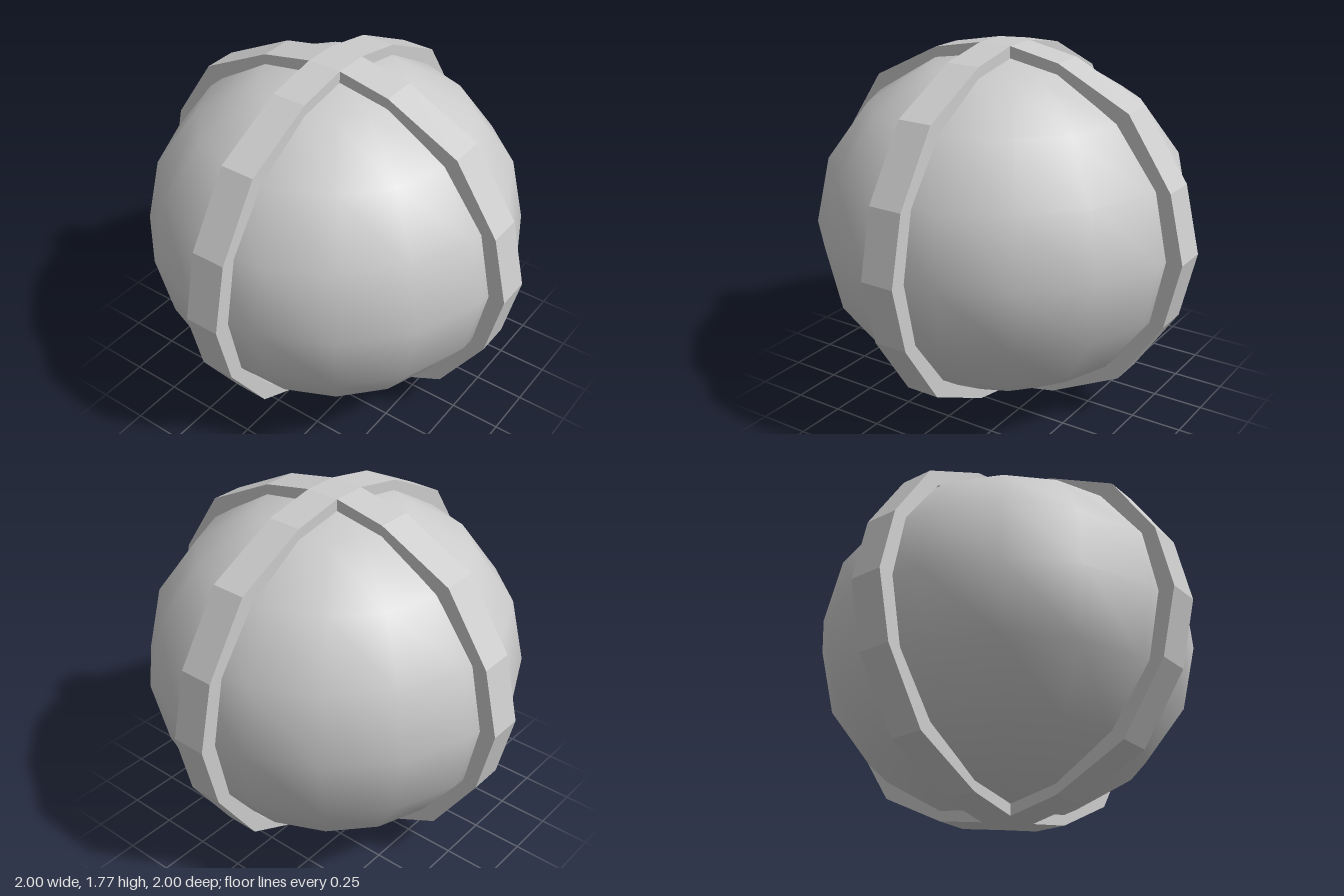
import * as THREE from 'three';

const CENTER_Y = 0.885;
const BAND_WIDTH = 0.17;

// Mirrors one quadrant (from the side up to the top) into a closed loop
function mirrorLoop(quadrant) {
  const right = quadrant.map(([x, y]) => new THREE.Vector2(x, y));
  const left = right.map((p) => new THREE.Vector2(-p.x, p.y)).reverse();
  const upper = [...right, ...left];
  const lower = upper.slice(1, -1).map((p) => new THREE.Vector2(p.x, -p.y)).reverse();
  return [...upper, ...lower];
}

export function createModel() {
  const model = new THREE.Group();
  const material = new THREE.MeshStandardMaterial({ color: 0xcccccc });

  // Slightly flattened smooth ball
  const ball = new THREE.Mesh(new THREE.SphereGeometry(1, 16, 8), material);
  ball.name = 'ball';
  ball.scale.set(0.925, 0.848, 0.925);
  ball.rotation.y = 0.24;
  ball.position.y = CENTER_Y;
  model.add(ball);

  // Faceted hoop with a flat crossing patch at top and bottom
  const hoop = new THREE.Shape(mirrorLoop([
    [1, 0], [0.924, 0.325], [0.704, 0.655], [0.342, 0.835], [0.085, 0.885],
  ]));
  hoop.holes.push(new THREE.Path(mirrorLoop([
    [0.92, 0], [0.853, 0.322], [0.646, 0.6], [0.345, 0.78], [0.085, 0.828],
  ])));
  const hoopGeometry = new THREE.ExtrudeGeometry(hoop, { depth: BAND_WIDTH, bevelEnabled: false });
  hoopGeometry.translate(0, 0, -BAND_WIDTH / 2);

  // Two hoops crossing at right angles
  ['sideBand', 'frontBand'].forEach((name, i) => {
    const band = new THREE.Mesh(hoopGeometry, material);
    band.name = name;
    band.rotation.y = i * Math.PI / 2;
    band.position.y = CENTER_Y;
    model.add(band);
  });

  return model;
}
